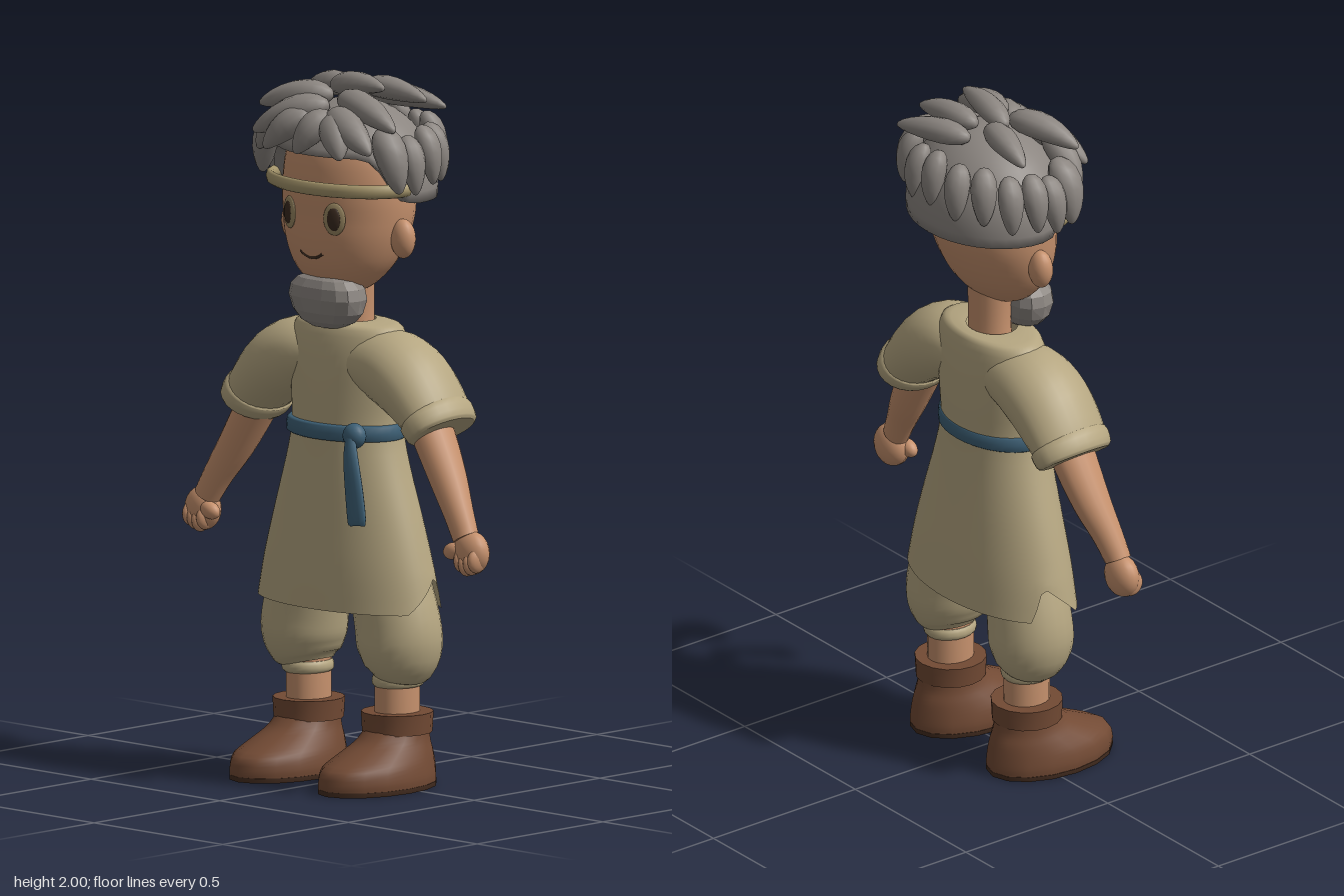
import * as THREE from 'three';
import { mergeVertices } from 'three/addons/utils/BufferGeometryUtils.js';

const mat = (name, color, side = THREE.FrontSide) => {
  const m = new THREE.MeshStandardMaterial({ color, side });
  m.name = name;
  return m;
};

// Skins a path of three or more stations in an xy plane; each is [x, y, z, radius in plane, radius along z]
function sweep(stations, { n = 20, sub = 3, caps = true } = {}) {
  const centres = new THREE.CatmullRomCurve3(stations.map(s => new THREE.Vector3(s[0], s[1], s[2])), false, 'catmullrom');
  const radii = new THREE.CatmullRomCurve3(stations.map(s => new THREE.Vector3(s[3], s[4], 0)), false, 'catmullrom');
  const rows = (stations.length - 1) * sub;
  const pos = [], idx = [], z = new THREE.Vector3(0, 0, 1);
  const ring = (i) => {
    const t = i / rows, c = centres.getPoint(t), r = radii.getPoint(t);
    const dir = centres.getPoint(Math.min(1, t + 0.01)).sub(centres.getPoint(Math.max(0, t - 0.01)));
    dir.z = 0;
    const side = z.clone().cross(dir.normalize());
    for (let j = 0; j < n; j++) {
      const a = j / n * Math.PI * 2;
      const p = c.clone().addScaledVector(side, r.x * Math.cos(a)).addScaledVector(z, r.y * Math.sin(a));
      pos.push(p.x, p.y, p.z);
    }
    return c;
  };
  for (let i = 0; i <= rows; i++) ring(i);
  for (let i = 0; i < rows; i++) for (let j = 0; j < n; j++) {
    const k = (j + 1) % n, a = i * n + j, b = i * n + k;
    idx.push(a, b, b + n, a, b + n, a + n);
  }
  if (caps) for (const end of [0, rows]) {
    const base = pos.length / 3, c = ring(end);
    pos.push(c.x, c.y, c.z);
    for (let j = 0; j < n; j++) {
      const a = base + j, b = base + (j + 1) % n;
      end ? idx.push(a, b, base + n) : idx.push(b, a, base + n);
    }
  }
  const g = new THREE.BufferGeometry();
  g.setAttribute('position', new THREE.Float32BufferAttribute(pos, 3));
  g.setIndex(idx);
  g.computeVertexNormals();
  return g;
}

// Moves every vertex by a rule, then renews the normals
function shape(g, rule) {
  const p = g.attributes.position, v = new THREE.Vector3();
  for (let i = 0; i < p.count; i++) {
    rule(v.fromBufferAttribute(p, i));
    p.setXYZ(i, v.x, v.y, v.z);
  }
  g.deleteAttribute('normal');
  if (g.attributes.uv) g.deleteAttribute('uv');
  g = mergeVertices(g, 1e-5);
  g.computeVertexNormals();
  return g;
}

export function createModel() {
  const model = new THREE.Group();
  model.name = 'tunicFigure';
  const skin = mat('skin', 0xc6916d), cloth = mat('cloth', 0xb5a681, THREE.DoubleSide);
  const hair = mat('greyHair', 0x8b8580, THREE.DoubleSide), leather = mat('leather', 0x724a34);
  const sole = mat('darkSole', 0x432c1f), sash = mat('blueSash', 0x3e6177);
  const band = mat('headband', 0xa6966c), iris = mat('eyeRim', 0x9a8862), dark = mat('darkBrown', 0x3a2a1f);

  const add = (name, geometry, material, parent = model) => {
    const m = new THREE.Mesh(geometry, material);
    m.name = name;
    parent.add(m);
    return m;
  };
  const ball = (name, material, [x, y, z], [sx, sy, sz], parent = model) => {
    const m = add(name, new THREE.SphereGeometry(1, 18, 12), material, parent);
    m.position.set(x, y, z);
    m.scale.set(sx, sy, sz);
    return m;
  };

  // Head with the chin pushed forward
  const profile = [[0, 1.375], [.07, 1.388], [.115, 1.415], [.16, 1.465], [.19, 1.53], [.205, 1.6],
    [.207, 1.68], [.19, 1.78], [.13, 1.86], [0, 1.9]].map(p => new THREE.Vector2(...p));
  const skull = new THREE.LatheGeometry(new THREE.SplineCurve(profile).getPoints(30).map(p => (p.x = Math.max(0, p.x), p)), 32);
  add('head', shape(skull, v => { v.z = v.z * .78 - .015 + Math.max(0, 1.6 - v.y) * .15; }), skin);
  add('neck', sweep([[0, 1.25, -.025, .07, .06], [0, 1.33, -.027, .066, .056], [0, 1.45, -.025, .07, .06]]), skin);

  // Face
  for (const s of [1, -1]) {
    ball('ear', skin, [s * .212, 1.548, -.012], [.038, .056, .033]);
    const eye = new THREE.Group();
    eye.name = 'eye';
    eye.position.set(s * .087, 1.605, .133);
    eye.rotation.y = s * .34;
    ball('eyeRim', iris, [0, 0, 0], [.034, .046, .008], eye);
    ball('pupil', dark, [0, 0, .004], [.021, .033, .008], eye);
    model.add(eye);
  }
  const smile = add('mouth', new THREE.TorusGeometry(.065, .005, 6, 16, 1.4), dark);
  smile.rotation.z = -Math.PI / 2 - .7;
  smile.position.set(0, 1.552, .133);

  // Faceted beard, flatter on top
  const beard = shape(new THREE.SphereGeometry(1, 14, 8), v => {
    const e = v.y > 0 ? .75 : .9;
    v.set(Math.sign(v.x) * Math.abs(v.x) ** e * .126, 1.37 + Math.sign(v.y) * Math.abs(v.y) ** .85 * (v.y > 0 ? .07 : .09),
      .07 + Math.sign(v.z) * Math.abs(v.z) ** e * .07);
  }).toNonIndexed();
  beard.computeVertexNormals();
  add('beard', beard, hair);

  // Hair cap: a dome whose rim rises over the forehead and turns inward
  const cap = shape(new THREE.SphereGeometry(1, 36, 14, 0, Math.PI * 2, 0, Math.PI / 2), v => {
    const r = Math.hypot(v.x, v.z) || 1, cx = v.x / r, cz = v.z / r;
    const t = Math.acos(Math.min(1, v.y)) / (Math.PI / 2);
    const front = THREE.MathUtils.smoothstep(cz, .1, .75);
    const a = Math.min(1, t * 14 / 13) * Math.PI / 2 * (1.08 - front * .35);
    const h = Math.sin(a) * (t > .99 ? .78 : 1);
    v.set(cx * h * .254, 1.68 + Math.cos(a) * .24, -.035 + cz * h * .21);
  });
  add('hairCap', cap, hair);

  // Leaf-shaped locks, from root to tip
  const leaf = shape(new THREE.SphereGeometry(1, 12, 10), v => {
    const f = 1 - .3 * v.y;
    v.x *= f; v.z = v.z * f + .35 * (1 - v.y * v.y) - .2;
  });
  const lock = (a, b, w) => {
    const A = new THREE.Vector3(...a), B = new THREE.Vector3(...b);
    const dir = B.clone().sub(A), len = dir.length();
    dir.normalize();
    const mid = A.add(B).multiplyScalar(.5);
    const out = mid.clone().sub(new THREE.Vector3(0, 1.68, -.035));
    out.addScaledVector(dir, -out.dot(dir)).normalize();
    const m = add('hairLock', leaf, hair);
    m.quaternion.setFromRotationMatrix(new THREE.Matrix4().makeBasis(dir.clone().cross(out), dir, out));
    m.position.copy(mid);
    m.scale.set(w, len / 2, w * .9);
  };
  for (let i = 0; i < 11; i++) {
    const a = (i - 5) * .35, s = Math.sin(a), c = Math.cos(a), up = .03 * c + (i % 2) * .012;
    lock([s * .24, 1.85 + up, -.035 - c * .172], [s * .285, 1.685 + up, -.035 - c * .203], .036);
  }
  for (const s of [1, -1]) lock([s * .2, 1.87, .06], [s * .275, 1.69, .06], .046);
  [
    [[-.04, 1.925, -.13], [.2, 1.9, -.2], .036], [[-.02, 1.95, -.09], [.21, 1.93, -.11], .036],
    [[-.08, 1.95, -.03], [.15, 1.97, .0], .036], [[.02, 1.94, .04], [.26, 1.87, .07], .042],
    [[-.02, 1.94, .03], [-.23, 1.9, .11], .042], [[0, 1.92, .07], [-.21, 1.83, .16], .045],
    [[.03, 1.9, .09], [.23, 1.81, .14], .045], [[-.03, 1.9, .1], [-.15, 1.79, .18], .044],
    [[.05, 1.89, .1], [.15, 1.79, .18], .044], [[.04, 1.9, .1], [-.02, 1.79, .19], .044],
    [[-.05, 1.95, -.07], [-.25, 1.91, -.1], .038], [[-.1, 1.9, .1], [-.24, 1.77, .11], .042],
  ].forEach(l => lock(...l));

  // Headband around the brow
  const hoop = add('headband', new THREE.TorusGeometry(.242, .015, 8, 40, Math.PI).rotateX(Math.PI / 2), band);
  hoop.scale.set(1, 1.3, .69);
  hoop.position.set(0, 1.69, 0);

  // Tunic with a notch in each side of the hem
  const tunic = sweep([[0, 1.3, -.018, .078, .068], [0, 1.298, -.018, .125, .085], [0, 1.284, -.018, .182, .105],
    [0, 1.21, -.015, .198, .12], [0, 1.1, -.013, .187, .126], [0, 1, -.01, .18, .127], [0, .9, -.01, .203, .132],
    [0, .75, -.013, .252, .146], [0, .62, -.015, .29, .16], [0, .5, -.017, .317, .169]], { n: 64, caps: false });
  add('tunic', shape(tunic, v => {
    if (v.y > .62 || Math.abs(v.x) < .15) return;
    const d = v.z + .06;
    const lift = .1 * Math.max(0, 1 - (d > 0 ? d / .11 : -d / .035)) * (.62 - v.y) / .12;
    v.y += lift;
    v.x *= 1 - lift * .7;
  }), cloth);

  // Sash, knot and hanging tail
  add('sash', sweep([[0, 1.02, -.005, .178, .122], [0, 1.015, -.005, .19, .136],
    [0, .98, -.005, .191, .138], [0, .974, -.005, .178, .122]], { n: 40, sub: 2 }), sash);
  ball('sashKnot', sash, [.15, 1.0, .118], [.036, .036, .03]);
  add('sashTail', sweep([[.15, 1.0, .135, .016, .012], [.165, .94, .148, .026, .014], [.19, .85, .16, .034, .013],
    [.212, .775, .172, .036, .011], [.215, .762, .174, .028, .007]], { n: 12 }), sash);

  for (const s of [1, -1]) {
    const limb = (name, stations, material, opts) =>
      add(name, sweep(stations.map(([x, ...r]) => [x * s, ...r]), opts), material);

    // Sleeve, melting into the shoulder, and rolled cuff
    limb('sleeve', [[0, 1.195, -.014, .07, .075], [.09, 1.19, -.014, .088, .106], [.175, 1.18, -.013, .106, .119],
      [.25, 1.145, -.012, .105, .124], [.315, 1.088, -.012, .089, .121], [.35, 1.045, -.012, .076, .115]], cloth, { n: 28 });
    limb('sleeveCuff', [[.333, 1.068, -.012, .08, .113], [.342, 1.058, -.012, .088, .124], [.362, 1.03, -.012, .084, .12],
      [.368, 1.022, -.012, .074, .108]], cloth, { n: 24, sub: 2 });

    // Arm and loosely closed hand
    limb('arm', [[.29, 1.1, 0, .056, .066], [.35, 1.0, .002, .054, .066], [.415, .89, .012, .05, .055],
      [.465, .81, .026, .043, .043], [.502, .745, .035, .039, .036]], skin);
    ball('palm', skin, [.521 * s, .705, .033], [.06, .062, .042]);
    for (let i = 0; i < 4; i++)
      ball('finger', skin, [(.5 + i * .018) * s, .674 + Math.abs(i - 1.2) * .008, .044], [.018, .036, .034]);
    ball('thumb', skin, [.472 * s, .707, .055], [.034, .024, .022]).rotation.z = s * .3;

    // Baggy trouser leg and ankle
    limb('trouserLeg', [[.13, .72, -.02, .1, .1], [.15, .58, -.022, .115, .11], [.178, .46, -.025, .126, .115],
      [.186, .39, -.026, .122, .117], [.182, .335, -.028, .1, .1], [.176, .308, -.03, .07, .075]], cloth, { n: 24 });
    limb('trouserHem', [[.175, .315, -.03, .064, .07], [.175, .305, -.03, .07, .076], [.175, .29, -.03, .07, .076],
      [.175, .282, -.03, .062, .07]], cloth, { sub: 2 });
    limb('ankle', [[.172, .33, -.03, .059, .068], [.172, .24, -.03, .06, .068], [.172, .15, -.03, .06, .068]], skin);

    // Boot
    limb('boot', [[.172, .012, .05, .126, .2], [.172, .035, .05, .127, .2], [.172, .068, .045, .12, .192],
      [.172, .1, .015, .106, .156], [.172, .13, -.012, .092, .118], [.172, .16, -.028, .084, .098]], leather, { n: 16 });
    limb('bootCuff', [[.172, .152, -.03, .097, .099], [.172, .18, -.03, .099, .1], [.172, .21, -.03, .101, .101]],
      leather, { n: 16, sub: 1 });
    limb('bootSole', [[.172, 0, .05, .126, .2], [.172, .007, .05, .128, .201], [.172, .014, .05, .128, .201]],
      sole, { n: 16, sub: 1 });
  }
  return model;
}
